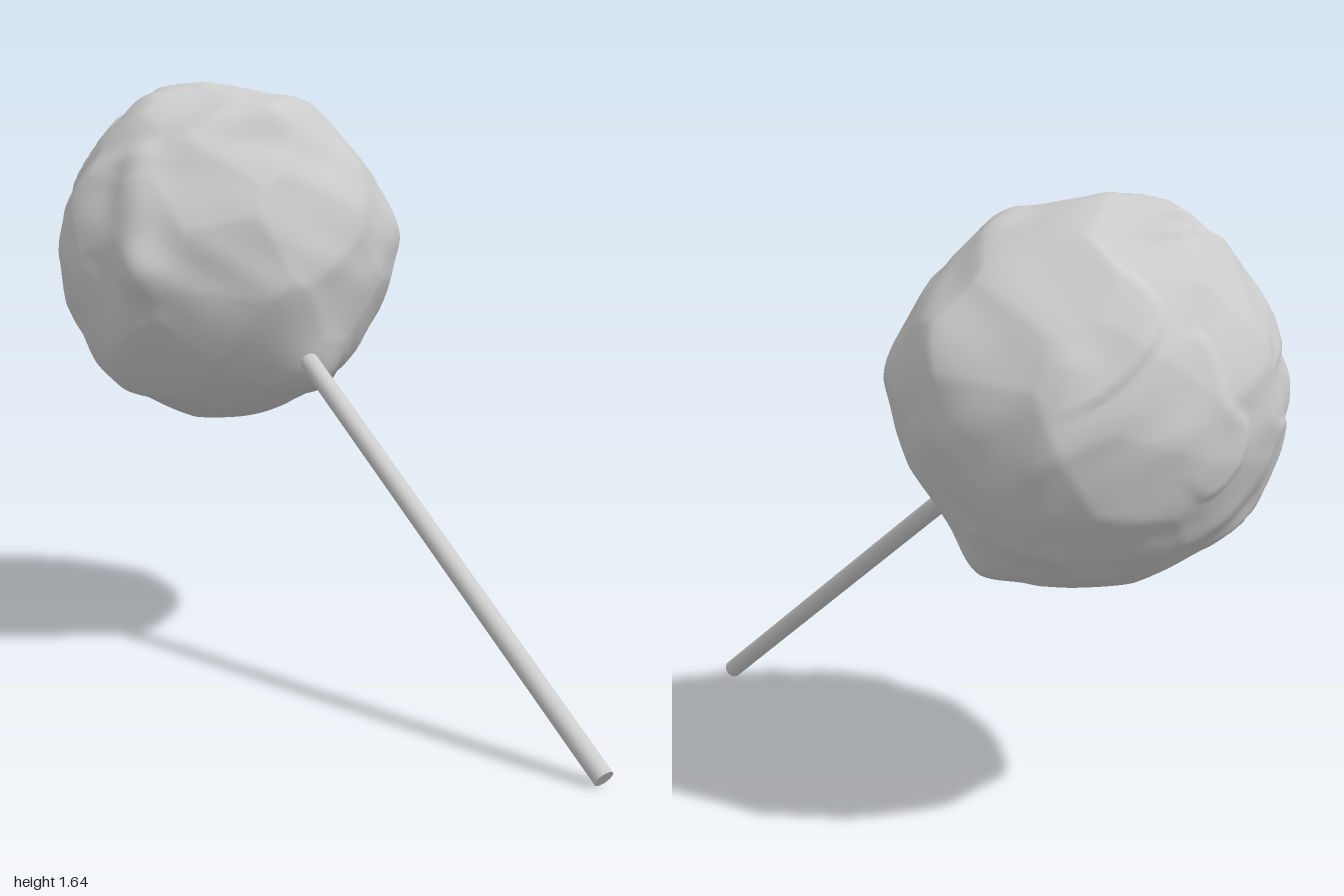
import * as THREE from 'three';
import { mergeVertices } from 'three/addons/utils/BufferGeometryUtils.js';

const material = new THREE.MeshStandardMaterial({ color: 0xcccccc });
const centre = new THREE.Vector3(-0.535, 1.167, 0);

// Broad swellings of the crumpled ball: direction x, y, z, height, sharpness
const bumps = [
  [0.74, -0.67, -0.08, 0.05, 40],
  [0.1, -0.77, -0.6, 0.045, 50],
  [0.0, -0.6, 0.8, 0.035, 18],
  [0.0, -1.0, 0.05, 0.02, 12],
  [-0.1, 0.88, 0.46, 0.03, 25],
  [0.1, 0.35, -0.93, 0.025, 25],
  [0.65, 0.1, -0.73, 0.03, 25],
  [0.6, 0.78, 0.1, 0.015, 25],
  [-0.55, 0.82, 0.1, 0.02, 40],
  [-0.05, 0.05, 1.0, 0.03, 12],
  [-0.05, 0.05, -1.0, 0.025, 14],
].map(([x, y, z, h, k]) => ({ dir: new THREE.Vector3(x, y, z).normalize(), h, k }));

// Long soft creases between two directions, with height and sharpness
const ridges = [
  [0.3, 0.55, 0.8, 0.45, -0.05, 0.89, 0.03, 90],
  [0.45, -0.05, 0.89, 0.1, -0.7, 0.7, 0.02, 90],
  [0.3, 0.9, -0.4, 0.6, 0.78, 0.1, 0.016, 120],
  [0.6, 0.78, 0.1, 0.45, 0.7, 0.55, 0.014, 120],
  [-0.7, 0.1, 0.7, -0.55, -0.7, 0.45, 0.014, 120],
  [-0.6, 0.3, -0.75, -0.3, -0.6, -0.75, 0.016, 120],
].map(([ax, ay, az, bx, by, bz, h, k]) => ({
  line: new THREE.Line3(
    new THREE.Vector3(ax, ay, az).normalize(), new THREE.Vector3(bx, by, bz).normalize()),
  h, k,
}));

// Shallow flaps, raised on one side only: direction, cosine of the rim
const flaps = [
  [-0.75, 0.6, 0.3, 0.88], [-0.88, -0.35, 0.3, 0.9], [-0.5, 0.55, -0.67, 0.9],
  [-0.2, 0.95, -0.1, 0.9], [-0.95, 0.05, -0.3, 0.92],
].map(([x, y, z, rim]) => ({
  dir: new THREE.Vector3(x, y, z).normalize(),
  rim,
  side: new THREE.Vector3(z, 0, -x).normalize(),
}));

function seeded(seed) {
  return () => (seed = (seed * 16807) % 2147483647) / 2147483647;
}

function crumpledBall() {
  const random = seeded(421);
  const { smoothstep } = THREE.MathUtils;
  // Flat facets spread evenly around the ball, at slightly different depths
  const facets = [];
  const count = 56;
  for (let i = 0; i < count; i++) {
    const y = 1 - (2 * i + 1) / count;
    const a = i * 2.39996 + (random() - 0.5) * 0.4;
    const s = Math.sqrt(1 - y * y);
    facets.push({
      dir: new THREE.Vector3(s * Math.cos(a), y, s * Math.sin(a)),
      depth: 0.449 + 0.012 * random(),
    });
  }

  const geometry = new THREE.IcosahedronGeometry(1, 40);
  geometry.deleteAttribute('normal');
  geometry.deleteAttribute('uv');
  const ball = mergeVertices(geometry);
  const position = ball.attributes.position;
  const p = new THREE.Vector3();
  const q = new THREE.Vector3();
  for (let i = 0; i < position.count; i++) {
    p.fromBufferAttribute(position, i).normalize();
    let r = 1;
    for (const f of facets) {
      const d = p.dot(f.dir);
      if (d > 0.5) r = Math.min(r, f.depth / d);
    }
    // Part facet, part round
    r = 0.4 * r + 0.6 * 0.461;
    for (const b of bumps) r += b.h * Math.exp(-b.k * (1 - p.dot(b.dir)));
    for (const c of ridges) {
      c.line.closestPointToPoint(p, true, q).normalize();
      r += c.h * Math.exp(-c.k * (1 - p.dot(q)));
    }
    // Irregular rim for each flap
    const wave = 0.025 * Math.sin(9 * p.x + 4 * p.y) + 0.02 * Math.sin(11 * p.z - 7 * p.y);
    for (const f of flaps) {
      const d = p.dot(f.dir) + wave;
      r += 0.012 * smoothstep(d, f.rim, f.rim + 0.02) * (1 - smoothstep(d, f.rim, 1))
        * smoothstep(p.dot(f.side), -0.1, 0.25);
    }
    // Fine creasing
    r += 0.004 * Math.sin(8 * p.x + 3 * Math.sin(5 * p.y)) * Math.cos(9 * p.z - 4 * p.y);
    p.multiplyScalar(r);
    position.setXYZ(i, p.x, p.y, p.z);
  }
  ball.computeVertexNormals();
  const mesh = new THREE.Mesh(ball, material);
  mesh.name = 'ball';
  mesh.position.copy(centre);
  return mesh;
}

function stick() {
  const start = new THREE.Vector3(-0.3, 1.012, 0.008);
  const end = new THREE.Vector3(0.983, 0.024, 0.008);
  const axis = end.clone().sub(start);
  const mesh = new THREE.Mesh(new THREE.CylinderGeometry(0.026, 0.026, axis.length(), 20), material);
  mesh.name = 'stick';
  mesh.position.copy(start).add(end).multiplyScalar(0.5);
  mesh.quaternion.setFromUnitVectors(new THREE.Vector3(0, 1, 0), axis.normalize());
  return mesh;
}

export function createModel() {
  const group = new THREE.Group();
  group.name = 'ballOnStick';
  group.add(crumpledBall(), stick());
  return group;
}
